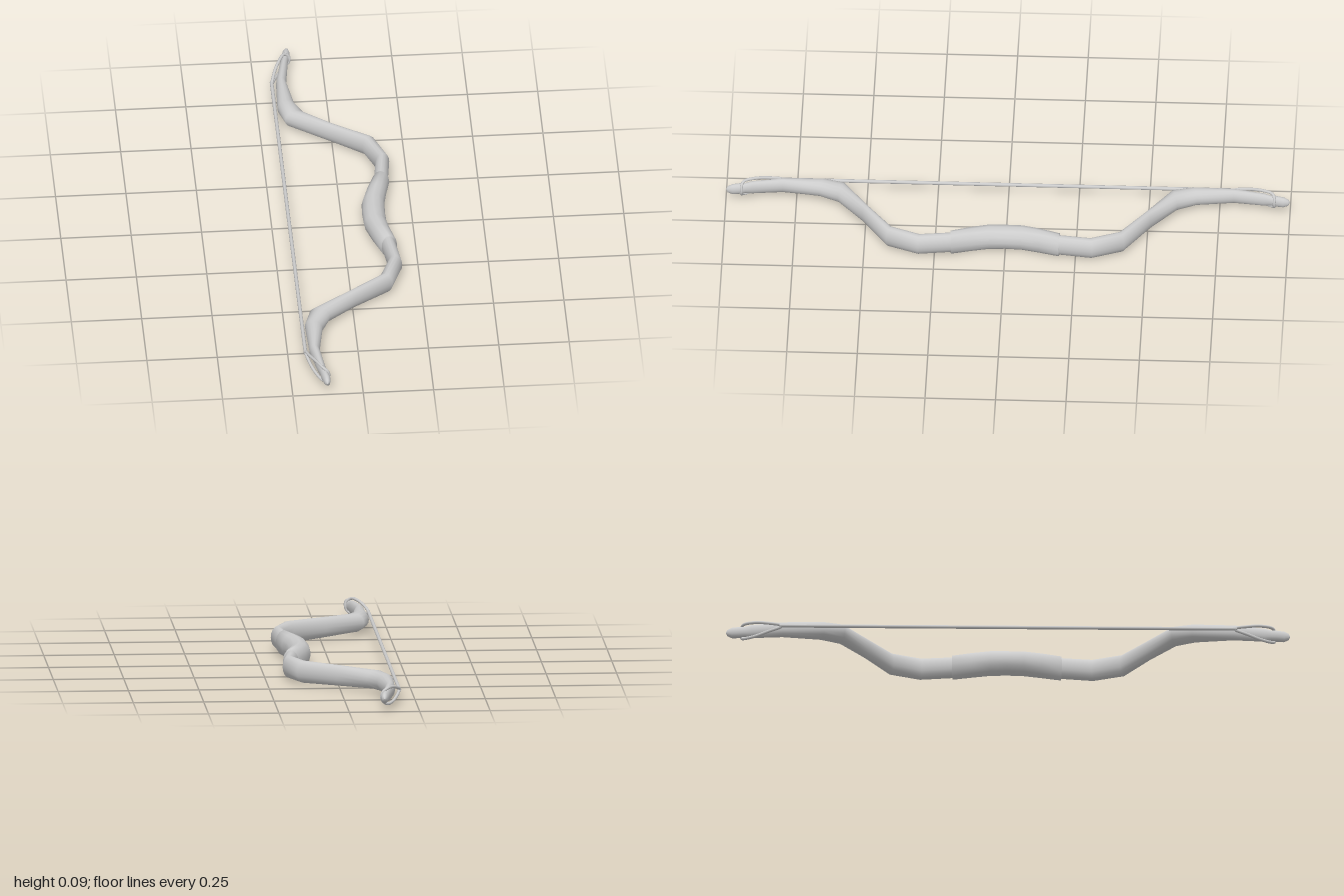
import * as THREE from 'three';

const MID = 0.05; // height of the bow's flat plane
const material = new THREE.MeshStandardMaterial({ color: 0xcccccc, side: THREE.DoubleSide });

// Smooth skin over elliptical sections [innerX, innerZ, outerX, outerZ, halfHeight],
// given from the middle (z = 0) to one end and mirrored to the other.
function loft(name, half, sides) {
  const mirrored = half.slice(1).reverse().map(([a, b, c, d, h]) => [a, -b, c, -d, h]);
  const sections = [...mirrored, ...half];
  const pos = [], index = [];
  sections.forEach(([ix, iz, ox, oz, h], i) => {
    for (let j = 0; j < sides; j++) {
      const t = (j / sides) * Math.PI * 2, u = (1 + Math.cos(t)) / 2;
      pos.push(ix + (ox - ix) * u, MID + h * Math.sin(t), iz + (oz - iz) * u);
      if (i === sections.length - 1) continue;
      const a = i * sides + j, b = i * sides + ((j + 1) % sides);
      index.push(a, b, b + sides, a, b + sides, a + sides);
    }
  });
  const g = new THREE.BufferGeometry();
  g.setAttribute('position', new THREE.Float32BufferAttribute(pos, 3));
  g.setIndex(index);
  g.computeVertexNormals();
  const mesh = new THREE.Mesh(g, material);
  mesh.name = name;
  return mesh;
}

function tube(name, points, radius, segments, closed = false) {
  const curve = new THREE.CatmullRomCurve3(points.map(p => new THREE.Vector3(...p)), closed, 'centripetal');
  const mesh = new THREE.Mesh(new THREE.TubeGeometry(curve, segments, radius, 8, closed), material);
  mesh.name = name;
  return mesh;
}

export function createModel() {
  const bow = new THREE.Group();
  bow.name = 'bow';

  // Recurved stave with both limbs and rounded nocks
  bow.add(loft('stave', [
    [0.085, 0, 0.143, 0, 0.036],
    [0.125, 0.19, 0.175, 0.185, 0.039],
    [0.14, 0.30, 0.19, 0.31, 0.04],
    [0.10, 0.40, 0.147, 0.422, 0.04],
    [-0.02, 0.488, 0.012, 0.512, 0.037],
    [-0.16, 0.578, -0.088, 0.602, 0.034],
    [-0.182, 0.65, -0.12, 0.67, 0.032],
    [-0.176, 0.80, -0.14, 0.80, 0.028],
    [-0.155, 0.91, -0.127, 0.905, 0.025],
    [-0.148, 0.935, -0.124, 0.93, 0.02],
    [-0.146, 0.955, -0.118, 0.95, 0.021],
    [-0.14, 0.98, -0.114, 0.975, 0.02],
    [-0.134, 0.995, -0.117, 0.993, 0.012],
    [-0.126, 1, -0.126, 1, 0],
  ], 16));

  // Thicker wrapped handle
  bow.add(loft('grip', [
    [0.07, 0, 0.152, 0, 0.044],
    [0.073, 0.06, 0.154, 0.06, 0.045],
    [0.093, 0.125, 0.165, 0.12, 0.046],
    [0.12, 0.195, 0.181, 0.19, 0.046],
    [0.145, 0.193, 0.155, 0.19, 0.01],
  ], 12));

  // String between the two limbs
  bow.add(tube('string', [[-0.191, MID, -0.81], [-0.191, MID, 0], [-0.191, MID, 0.81]], 0.0065, 8));

  // Loops that split from the string and pass around the nocks
  for (const s of [1, -1]) {
    const side = k => [
      [-0.178, MID + k * 0.016, s * 0.85],
      [-0.158, MID + k * 0.027, s * 0.90],
      [-0.138, MID + k * 0.027, s * 0.938],
      [-0.123, MID + k * 0.016, s * 0.945],
    ];
    bow.add(tube('stringLoop', [
      [-0.191, MID, s * 0.80], ...side(1), [-0.118, MID, s * 0.944], ...side(-1).reverse(),
    ], 0.0055, 48, true));
  }
  return bow;
}
